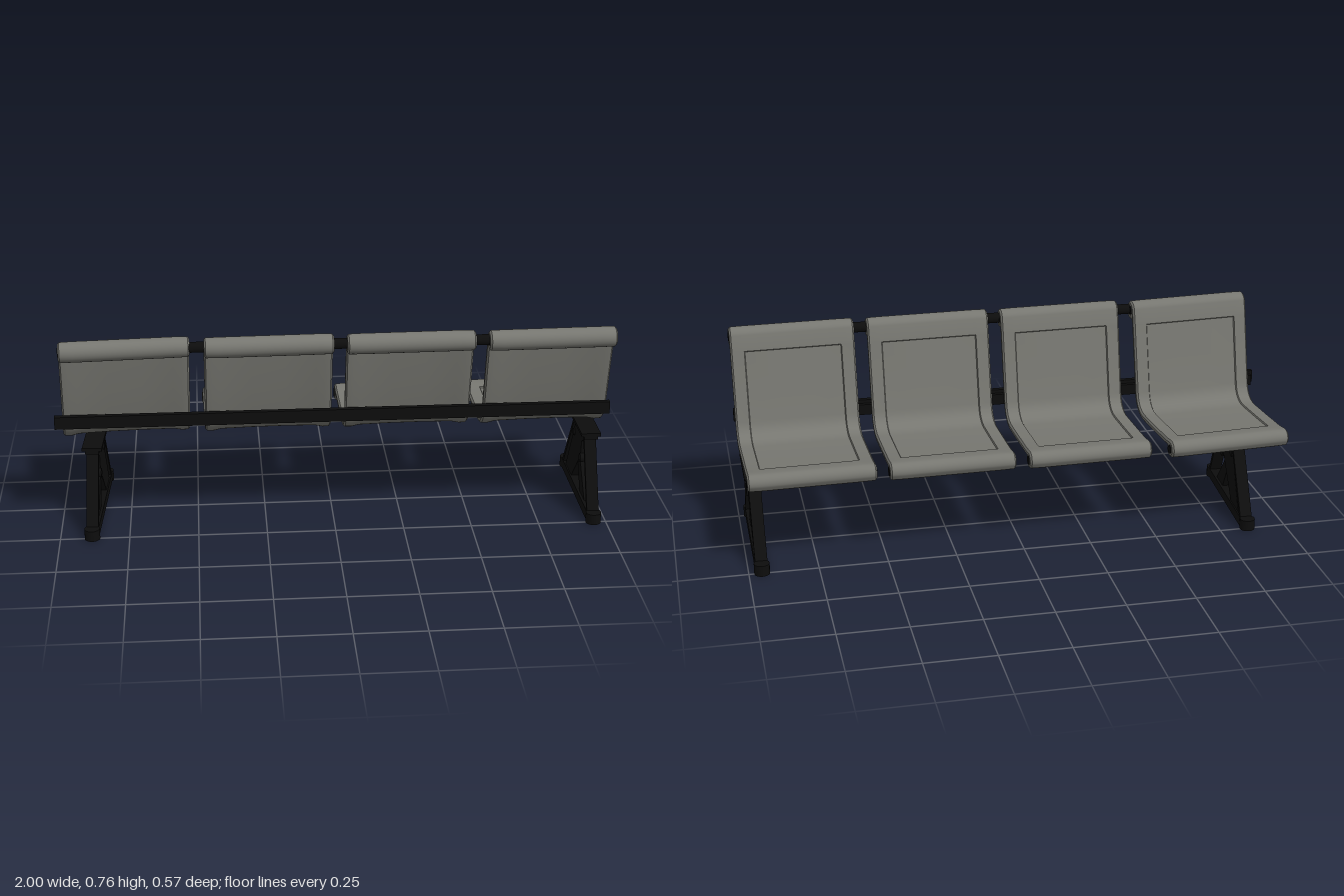
import * as THREE from 'three';
import { toCreasedNormals } from 'three/addons/utils/BufferGeometryUtils.js';

const shellGrey = new THREE.MeshStandardMaterial({ color: 0x777771 });
shellGrey.name = 'shell grey';
const frameBlack = new THREE.MeshStandardMaterial({ color: 0x0d0d0d });
frameBlack.name = 'frame black';

function add(parent, name, geometry, material, x = 0, y = 0, z = 0) {
  const mesh = new THREE.Mesh(geometry, material);
  mesh.name = name;
  mesh.position.set(x, y, z);
  parent.add(mesh);
  return mesh;
}

// Side profile as (z, y, recess): rolled top, backrest, bend, seat, rolled front edge
const TOP_ROLL = [0.24, 0.726], FRONT_ROLL = [-0.235, 0.349];
function seatPath() {
  const path = [];
  const arc = ([z, y], r, from, to, steps) => {
    for (let i = 0; i <= steps; i++) {
      const a = THREE.MathUtils.degToRad(from + (to - from) * i / steps);
      path.push([z + r * Math.cos(a), y + r * Math.sin(a), 0]);
    }
  };
  arc(TOP_ROLL, 0.024, -125, 175, 20);
  path.push([0.206, 0.69, 0], [0.204, 0.68, 0], [0.2035, 0.677, 1], [0.175, 0.545, 1]);
  const bend = new THREE.QuadraticBezierCurve(
    new THREE.Vector2(0.149, 0.425), new THREE.Vector2(0.132, 0.354), new THREE.Vector2(0.05, 0.355));
  for (const p of bend.getPoints(10)) path.push([p.x, p.y, 1]);
  path.push([-0.07, 0.358, 1], [-0.182, 0.362, 1], [-0.185, 0.3625, 0], [-0.205, 0.364, 0]);
  arc(FRONT_ROLL, 0.02, 95, 395, 20);
  return path;
}

// Sweep a thick cross-section with a recessed centre panel along the profile
function seatGeometry() {
  const path = seatPath();
  const halfTop = [[0.228, 0.005, 0], [0.222, 0.012, 0], [0.178, 0.013, 0], [0.175, 0.013, 0.005], [0.06, 0.013, 0.005]];
  const halfBottom = [[0.228, -0.005], [0.222, -0.012], [0.2, -0.013], [0.17, -0.007], [0.06, -0.005]];
  const flip = list => list.map(([x, ...rest]) => [-x, ...rest]);
  const top = [...flip(halfTop), ...halfTop.slice().reverse()];
  const bottom = [...halfBottom, ...flip(halfBottom).reverse()].map(([x, o]) => [x, o, 0]);
  const section = [...top, ...bottom];
  const n = section.length, positions = [], index = [];
  path.forEach(([z, y, recess], i) => {
    const a = path[Math.max(i - 1, 0)], b = path[Math.min(i + 1, path.length - 1)];
    const len = Math.hypot(b[0] - a[0], b[1] - a[1]);
    const nz = (b[1] - a[1]) / len, ny = -(b[0] - a[0]) / len;
    for (const [x, offset, depth] of section) {
      const o = offset - depth * recess;
      positions.push(x, y + ny * o, z + nz * o);
    }
  });
  for (let i = 0; i < path.length - 1; i++) {
    for (let j = 0; j < n; j++) {
      const k = (j + 1) % n, a = i * n, b = a + n;
      index.push(a + j, a + k, b + j, a + k, b + k, b + j);
    }
  }
  // Close both ends of the sheet
  const last = (path.length - 1) * n;
  for (let j = 0; j < n / 2 - 1; j++) {
    const q = [j, j + 1, n - 2 - j, n - 1 - j];
    index.push(q[0], q[2], q[1], q[0], q[3], q[2]);
    index.push(last + q[0], last + q[1], last + q[2], last + q[0], last + q[2], last + q[3]);
  }
  const g = new THREE.BufferGeometry();
  g.setAttribute('position', new THREE.Float32BufferAttribute(positions, 3));
  g.setIndex(index);
  return toCreasedNormals(g, 0.55);
}

// Rod lying along x
function rod(radius, length) {
  return new THREE.CylinderGeometry(radius, radius, length, 20).rotateZ(Math.PI / 2);
}

// Flat plate from (z, y) corners, given a width across x
function plate(points, width) {
  const shape = new THREE.Shape(points.map(([z, y]) => new THREE.Vector2(z, y)));
  return new THREE.ExtrudeGeometry(shape, { depth: width, bevelEnabled: false })
    .translate(0, 0, -width / 2).rotateY(-Math.PI / 2);
}

function createLeg(name, x, turn) {
  const leg = new THREE.Group();
  leg.name = name;
  leg.position.x = x;
  leg.rotation.y = turn;
  // Floor beam with rounded ends
  add(leg, 'floorBeam', new THREE.BoxGeometry(0.046, 0.036, 0.51), frameBlack, 0, 0.02, 0);
  for (const z of [-0.25, 0.25]) {
    add(leg, 'foot', new THREE.CylinderGeometry(0.028, 0.028, 0.04, 16), frameBlack, 0, 0.02, z);
  }
  // Top bracket
  add(leg, 'topBracket', new THREE.BoxGeometry(0.072, 0.012, 0.262), frameBlack, 0, 0.302, 0.01);
  add(leg, 'topBeam', new THREE.BoxGeometry(0.05, 0.014, 0.262), frameBlack, 0, 0.291, 0.01);
  // Thin outer struts
  add(leg, 'backStrut', plate([[0.24, 0.035], [0.224, 0.035], [0.104, 0.287], [0.12, 0.287]], 0.044), frameBlack);
  add(leg, 'frontStrut', plate([[-0.235, 0.035], [-0.07, 0.287], [-0.054, 0.287], [-0.215, 0.035]], 0.044), frameBlack);
  // Crossed inner braces
  add(leg, 'narrowBrace', plate([[0.15, 0.035], [0.015, 0.19], [-0.055, 0.287], [-0.068, 0.287], [-0.05, 0.22], [0.062, 0.035]], 0.028), frameBlack);
  add(leg, 'wideBrace', plate([[-0.08, 0.035], [0.062, 0.185], [0.066, 0.245], [0.125, 0.28], [0.125, 0.287], [-0.045, 0.287], [-0.078, 0.225], [-0.188, 0.035]], 0.036), frameBlack);
  // Pivot bolts
  add(leg, 'pivotBolt', rod(0.017, 0.046), frameBlack, 0, 0.18, 0.07);
  add(leg, 'pivotBolt', rod(0.014, 0.046), frameBlack, 0, 0.228, -0.062);
  return leg;
}

export function createModel() {
  const model = new THREE.Group();
  model.name = 'fourSeatBench';

  // Four shells, each turned very slightly
  const shell = seatGeometry();
  const places = [[-0.755, 0.06], [-0.24, 0.022], [0.263, 0.018], [0.765, 0.022]];
  places.forEach(([x, turn], i) => {
    const seat = new THREE.Group();
    seat.name = 'seat' + (i + 1);
    seat.position.x = x;
    seat.rotation.y = turn;
    add(seat, 'seatShell', shell, shellGrey);
    add(seat, 'frontRollRod', rod(0.016, 0.46), frameBlack, 0, FRONT_ROLL[1] - 0.002, FRONT_ROLL[0]);
    add(seat, 'topRollRod', rod(0.016, 0.46), frameBlack, 0, TOP_ROLL[1], TOP_ROLL[0]);
    model.add(seat);
  });

  // Connectors between neighbouring top rolls
  for (const x of [-0.485, 0.018, 0.518]) {
    add(model, 'topConnector', rod(0.019, 0.07), frameBlack, x, TOP_ROLL[1] + 0.002, TOP_ROLL[0]);
  }

  // Rear support rail, double section
  add(model, 'rearRail', new THREE.BoxGeometry(2, 0.046, 0.02), frameBlack, 0, 0.437, 0.194);
  add(model, 'railInnerFlange', new THREE.BoxGeometry(1.98, 0.04, 0.018), frameBlack, 0, 0.427, 0.177);

  model.add(createLeg('rightLeg', -0.869, -0.062), createLeg('leftLeg', 0.953, 0));
  return model;
}
